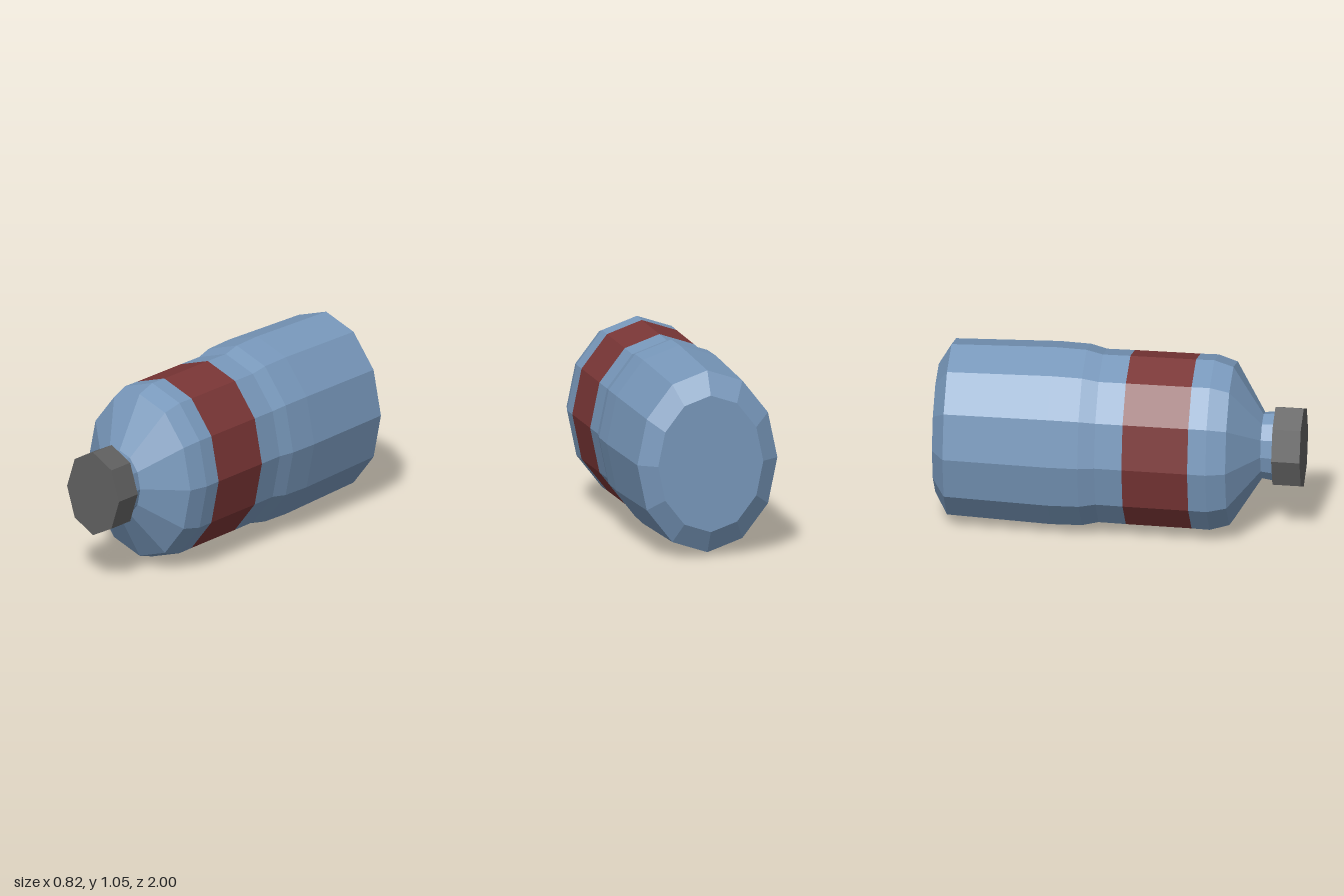
import * as THREE from 'three';

const CENTER_Y = 0.53;
const ASPECT = 0.78; // oval cross-section: width / height

// Faceted oval solid along z from [half height, z] points, listed back to front
function ovalPart(name, profile, sides, color) {
  const points = profile.map(([r, z]) => new THREE.Vector2(r, z));
  const geometry = new THREE.LatheGeometry(points, sides);
  geometry.rotateX(Math.PI / 2);
  geometry.scale(ASPECT, 1, 1);
  geometry.translate(0, CENTER_Y, 0);
  const material = new THREE.MeshStandardMaterial({ color, flatShading: true, side: THREE.DoubleSide });
  const mesh = new THREE.Mesh(geometry, material);
  mesh.name = name;
  return mesh;
}

export function createModel() {
  const group = new THREE.Group();
  group.name = 'bottle';
  const blue = 0x7898bb, red = 0x7a3636, grey = 0x606060;

  // Rear body with chamfered base and a step down to the band
  group.add(ovalPart('lowerBody', [
    [0, -1], [0.38, -1], [0.506, -0.93], [0.526, -0.36],
    [0.521, -0.19], [0.498, -0.1], [0.5, 0.05],
  ], 12, blue));

  // Coloured band around the middle
  group.add(ovalPart('labelBand', [[0.5, 0.05], [0.502, 0.41]], 12, red));

  // Shoulder tapering into the neck
  group.add(ovalPart('shoulderAndNeck', [
    [0.502, 0.41], [0.504, 0.51], [0.47, 0.615], [0.19, 0.78], [0.2, 0.85],
  ], 12, blue));

  // Eight-sided screw cap
  group.add(ovalPart('cap', [[0, 0.845], [0.24, 0.845], [0.24, 1], [0, 1]], 8, grey));

  return group;
}
